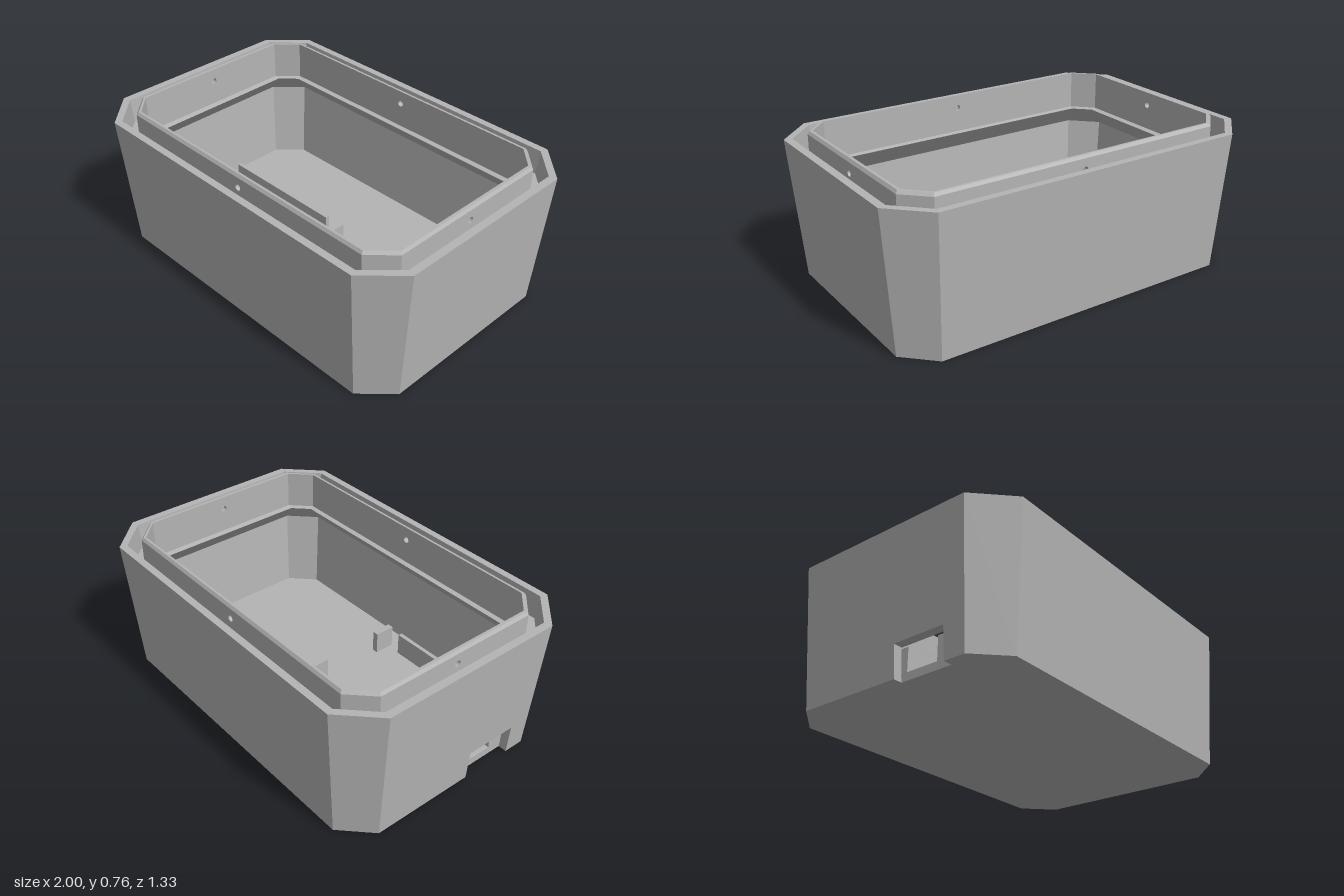
import * as THREE from 'three';

// Octagonal sections [y, halfX, halfZ, corner cut], running from the base up
// the outside, over the rim, round the lid groove and lip, then down inside.
const PROFILE = [
  [0, 0.945, 0.615, 0.145],
  [0.725, 1, 0.667, 0.177],
  [0.725, 0.96, 0.63, 0.15],
  [0.6, 0.95, 0.62, 0.146],
  [0.6, 0.895, 0.562, 0.115],
  [0.745, 0.895, 0.562, 0.115],
  [0.76, 0.885, 0.552, 0.11],
  [0.76, 0.87, 0.54, 0.1],
  [0.56, 0.87, 0.54, 0.1],
  [0.555, 0.84, 0.515, 0.08],
  [0.45, 0.935, 0.605, 0.13],
  [0.04, 0.9, 0.57, 0.12],
];
const NOTCH = { z0: 0.08, z1: 0.36, top: 0.16 };
const PIN = { y: 0.69, r: 0.016 };

const octagon = ([y, X, Z, c]) => [
  [X, c - Z], [X, Z - c], [X - c, Z], [c - X, Z],
  [-X, Z - c], [-X, c - Z], [c - X, -Z], [X - c, -Z],
].map(([x, z]) => [x, y, z]);

function quads(list) {
  const pos = [];
  for (const [a, b, c, d] of list) pos.push(...a, ...b, ...c, ...a, ...c, ...d);
  const g = new THREE.BufferGeometry();
  g.setAttribute('position', new THREE.Float32BufferAttribute(pos, 3));
  g.computeVertexNormals();
  return g;
}

// Flat wall between two sections on one straight side, with a pin hole or a notch
function panel(from, to, side, { hole = false, notch = false }) {
  const [lo, hi] = from[0] < to[0] ? [from, to] : [to, from];
  const onX = side % 4 === 0;
  const sign = side < 4 ? 1 : -1;
  const dir = onX ? (side === 0 ? 1 : -1) : sign;
  const k = onX ? 1 : 2;
  const width = (s) => (onX ? s[2] : s[1]) - s[3];
  const pts = [[-width(lo), lo[0]]];
  if (notch) {
    pts.push([NOTCH.z0, lo[0]], [NOTCH.z0, NOTCH.top], [NOTCH.z1, NOTCH.top], [NOTCH.z1, lo[0]]);
  }
  pts.push([width(lo), lo[0]], [width(hi), hi[0]], [-width(hi), hi[0]]);
  const shape = new THREE.Shape(pts.map((p) => new THREE.Vector2(...p)));
  if (hole) shape.holes.push(new THREE.Path().absarc(0, PIN.y, PIN.r, 0, Math.PI * 2, true));
  const g = new THREE.ShapeGeometry(shape, 8);
  const p = g.attributes.position;
  for (let i = 0; i < p.count; i++) {
    const u = p.getX(i), y = p.getY(i);
    const d = dir * THREE.MathUtils.lerp(lo[k], hi[k], (y - lo[0]) / (hi[0] - lo[0]));
    if (onX) p.setXYZ(i, d, y, u);
    else p.setXYZ(i, u, y, d);
  }
  // Turn the faces away from the solid
  const wanted = dir * (from[0] < to[0] ? 1 : -1);
  if (wanted !== (onX ? -1 : 1)) g.index.array.reverse();
  g.computeVertexNormals();
  return g;
}

// Horizontal face from an outline of [x, z] points
function slab(points, y, up) {
  const g = new THREE.ShapeGeometry(new THREE.Shape(points.map(([x, z]) => new THREE.Vector2(x, -z))));
  g.rotateX(-Math.PI / 2);
  g.translate(0, y, 0);
  if (!up) {
    g.index.array.reverse();
    g.computeVertexNormals();
  }
  return g;
}

export function createModel() {
  const group = new THREE.Group();
  const grey = new THREE.MeshStandardMaterial({ color: 0xb4b4b4, side: THREE.DoubleSide });
  grey.name = 'plain grey';
  const add = (name, geometry) => {
    const m = new THREE.Mesh(geometry, grey);
    m.name = name;
    group.add(m);
    return m;
  };

  // Shell walls, rim, groove, lip and ledge
  const shell = [];
  for (let j = 0; j < PROFILE.length - 1; j++) {
    const a = octagon(PROFILE[j]), b = octagon(PROFILE[j + 1]);
    for (let i = 0; i < 8; i++) {
      const hole = (j === 4 || j === 7) && i % 2 === 0;
      const notch = (j === 0 || j === 10) && i === 4;
      if (hole || notch) {
        add(hole ? 'lipSide' : 'notchedWall', panel(PROFILE[j], PROFILE[j + 1], i, { hole, notch }));
      } else {
        const n = (i + 1) % 8;
        shell.push([a[i], b[i], b[n], a[n]]);
      }
    }
  }
  add('shell', quads(shell));

  // Pin holes through the lip
  for (const [x, z] of [[0.8825, 0], [-0.8825, 0], [0, 0.551], [0, -0.551]]) {
    const g = new THREE.CylinderGeometry(PIN.r, PIN.r, 0.025, 16, 1, true);
    g.rotateX(Math.PI / 2);
    if (x) g.rotateY(Math.PI / 2);
    add('pinHole', g).position.set(x, PIN.y, z);
  }

  // Inside floor, and underside with the notch cut out
  const flat = (s) => octagon(s).map(([x, , z]) => [x, z]);
  add('floor', slab(flat(PROFILE[11]), 0.04, true));
  const under = flat(PROFILE[0]);
  const { z0, z1, top } = NOTCH;
  under.splice(5, 0, [-0.945, z1], [-0.9, z1], [-0.9, z0], [-0.945, z0]);
  add('underside', slab(under, 0, false));

  // Lining of the cable notch
  const xo = -0.957, xi = -0.91;
  const jamb = (z) => [[-0.945, 0, z], [-0.9, 0, z], [xi, top, z], [xo, top, z]];
  add('notchLining', quads([
    jamb(z0),
    jamb(z1).reverse(),
    [[xo, top, z0], [xi, top, z0], [xi, top, z1], [xo, top, z1]],
    [[-0.9, 0, z0], [-0.9, 0, z1], [-0.9, 0.04, z1], [-0.9, 0.04, z0]],
  ]));

  // Board mounts standing on the floor
  const block = (name, x0, x1, za, zb, h) =>
    add(name, new THREE.BoxGeometry(x1 - x0, h, zb - za))
      .position.set((x0 + x1) / 2, 0.04 + h / 2, (za + zb) / 2);
  block('connectorBlock', -0.9, -0.73, -0.01, 0.11, 0.12);
  block('connectorBlock', -0.9, -0.73, 0.28, 0.4, 0.12);
  block('boardRail', -0.79, -0.07, -0.088, -0.066, 0.12);
  block('boardRail', -0.79, -0.07, 0.453, 0.475, 0.12);
  block('boardStop', 0.005, 0.037, -0.09, 0.02, 0.12);
  block('boardStop', 0.005, 0.037, 0.367, 0.477, 0.12);

  return group;
}
